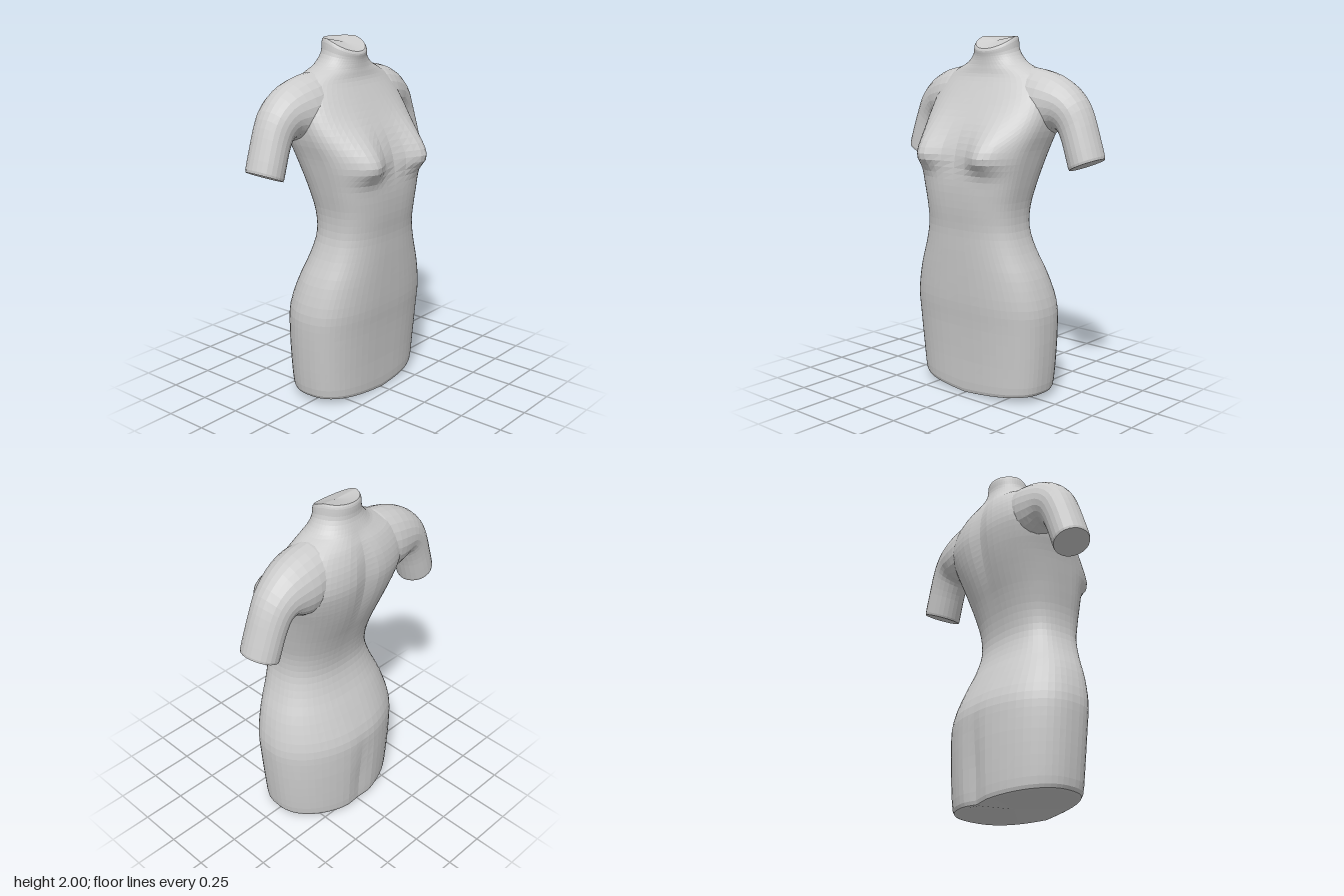
import * as THREE from 'three';

const material = new THREE.MeshStandardMaterial({ color: 0xcccccc, flatShading: true, side: THREE.DoubleSide });

// Catmull-Rom resampling of rows of section parameters
function resample(rows, steps) {
  const out = [];
  const at = i => rows[Math.min(Math.max(i, 0), rows.length - 1)];
  for (let i = 0; i < rows.length - 1; i++) {
    for (let s = 0; s < steps; s++) {
      const t = s / steps, a = at(i - 1), b = at(i), c = at(i + 1), d = at(i + 2);
      out.push(b.map((p, k) => 0.5 * (2 * p + (c[k] - a[k]) * t
        + (2 * a[k] - 5 * p + 4 * c[k] - d[k]) * t * t
        + (3 * p - a[k] - 3 * c[k] + d[k]) * t * t * t)));
    }
  }
  out.push(rows[rows.length - 1]);
  return out;
}

// Skin over closed rings of points, capped at both ends
function loft(rings, flip = false) {
  const n = rings[0].length, pos = [], index = [];
  const tri = (a, b, c) => (flip ? index.push(a, c, b) : index.push(a, b, c));
  rings.forEach(r => r.forEach(p => pos.push(p.x, p.y, p.z)));
  for (let i = 0; i < rings.length - 1; i++) {
    for (let j = 0; j < n; j++) {
      const a = i * n + j, b = i * n + (j + 1) % n;
      tri(a, a + n, b);
      tri(b, a + n, b + n);
    }
  }
  [0, rings.length - 1].forEach((r, end) => {
    const c = rings[r].reduce((s, p) => s.add(p), new THREE.Vector3()).divideScalar(n);
    const ci = pos.length / 3;
    pos.push(c.x, c.y, c.z);
    for (let j = 0; j < n; j++) {
      const a = r * n + j, b = r * n + (j + 1) % n;
      end ? tri(a, ci, b) : tri(a, b, ci);
    }
  });
  const g = new THREE.BufferGeometry();
  g.setAttribute('position', new THREE.Float32BufferAttribute(pos, 3));
  g.setIndex(index);
  g.computeVertexNormals();
  return g;
}

const bell = (v, mid, width) => Math.exp(-(((v - mid) / width) ** 2));
const power = (v, e) => Math.sign(v) * Math.abs(v) ** e;

// Torso sections: height, half width, front z, back z, squareness of front and of back
const TORSO = [
  [0.00, 0.385, 0.18, -0.28, 2.8, 2],
  [0.025, 0.415, 0.20, -0.30, 2.8, 2],
  [0.20, 0.432, 0.21, -0.31, 2.8, 2],
  [0.40, 0.445, 0.225, -0.315, 2.8, 2],
  [0.54, 0.443, 0.24, -0.307, 2.8, 2],
  [0.70, 0.40, 0.25, -0.24, 2.7, 2.2],
  [0.84, 0.34, 0.257, -0.175, 2.6, 2.4],
  [0.96, 0.304, 0.262, -0.145, 2.6, 2.5],
  [1.08, 0.303, 0.275, -0.158, 2.7, 2.5],
  [1.20, 0.325, 0.28, -0.195, 2.9, 2.5],
  [1.30, 0.345, 0.272, -0.235, 3.1, 2.5],
  [1.40, 0.365, 0.252, -0.272, 3.1, 2.6],
  [1.50, 0.39, 0.21, -0.30, 2.8, 2.7],
  [1.60, 0.40, 0.15, -0.314, 2.6, 2.8],
  [1.70, 0.385, 0.09, -0.303, 2.4, 2.6],
  [1.78, 0.335, 0.045, -0.275, 2.2, 2.3],
  [1.825, 0.255, 0.034, -0.25, 2.1, 2.1],
  [1.86, 0.185, 0.03, -0.232, 2, 2],
  [1.92, 0.138, 0.03, -0.208, 2, 2],
  [1.98, 0.127, 0.034, -0.206, 2, 2],
  [2.00, 0.118, 0.026, -0.198, 2, 2],
];

function torsoRing([y, w, front, back, nFront, nBack]) {
  const ring = [], count = 56, mid = 0.55 * front + 0.45 * back;
  for (let j = 0; j < count; j++) {
    const a = (j / count) * Math.PI * 2;
    const e = 2 / (Math.sin(a) > 0 ? nFront : nBack);
    const s = power(Math.sin(a), e), x = w * power(Math.cos(a), e);
    let z = mid + s * (s > 0 ? front - mid : mid - back);
    // bust, fuller above than below
    if (s > 0) z += 0.085 * s * bell(Math.abs(x), 0.22, 0.11) * bell(y, 1.36, y > 1.36 ? 0.16 : 0.07);
    // groove along the seat and the upper back
    else z += 0.022 * bell(x, 0, 0.06) * Math.max(bell(y, 0.15, 0.3), bell(y, 1.6, 0.25));
    // hem rising to the sides, and the neck cut sloping down to the front
    const hem = 0.085 * Math.abs(x) * Math.max(0, 1 - y / 0.2);
    const cut = Math.max(0, (y - 1.86) / 0.14) * 0.07 * Math.max(0, (z + 0.11) / 0.14) ** 1.3;
    ring.push(new THREE.Vector3(x, y + hem - cut, z));
  }
  return ring;
}

// Arm sections: upper x, y, lower x, y, front z, back z; the first ones sink into the torso
const ARM = [
  [0.08, 1.78, 0.16, 1.50, -0.02, -0.22],
  [0.19, 1.832, 0.23, 1.48, 0.025, -0.262],
  [0.30, 1.826, 0.30, 1.46, 0.042, -0.278],
  [0.41, 1.795, 0.355, 1.47, 0.025, -0.27],
  [0.50, 1.742, 0.395, 1.50, 0.002, -0.258],
  [0.57, 1.67, 0.422, 1.495, -0.012, -0.248],
  [0.612, 1.59, 0.442, 1.46, -0.02, -0.242],
  [0.645, 1.50, 0.465, 1.405, -0.02, -0.238],
  [0.685, 1.38, 0.500, 1.30, -0.018, -0.235],
  [0.682, 1.365, 0.508, 1.29, -0.025, -0.228],
];

function armRing([tx, ty, bx, by, front, back], side) {
  const ring = [], count = 24;
  for (let j = 0; j < count; j++) {
    const a = (j / count) * Math.PI * 2, t = (1 + Math.cos(a)) / 2;
    ring.push(new THREE.Vector3(
      side * (bx + (tx - bx) * t),
      by + (ty - by) * t,
      (front + back) / 2 + ((front - back) / 2) * Math.sin(a)));
  }
  return ring;
}

export function createModel() {
  const group = new THREE.Group();
  group.name = 'dressFormTorso';

  // Body from hem to neck
  const torso = new THREE.Mesh(loft(resample(TORSO, 3).map(torsoRing)), material);
  torso.name = 'torso';
  group.add(torso);

  // Shoulders running into the short upper arms
  for (const side of [1, -1]) {
    const rings = resample(ARM, 2).map(r => armRing(r, side));
    const arm = new THREE.Mesh(loft(rings, side > 0), material);
    arm.name = side > 0 ? 'leftArm' : 'rightArm';
    group.add(arm);
  }
  return group;
}
